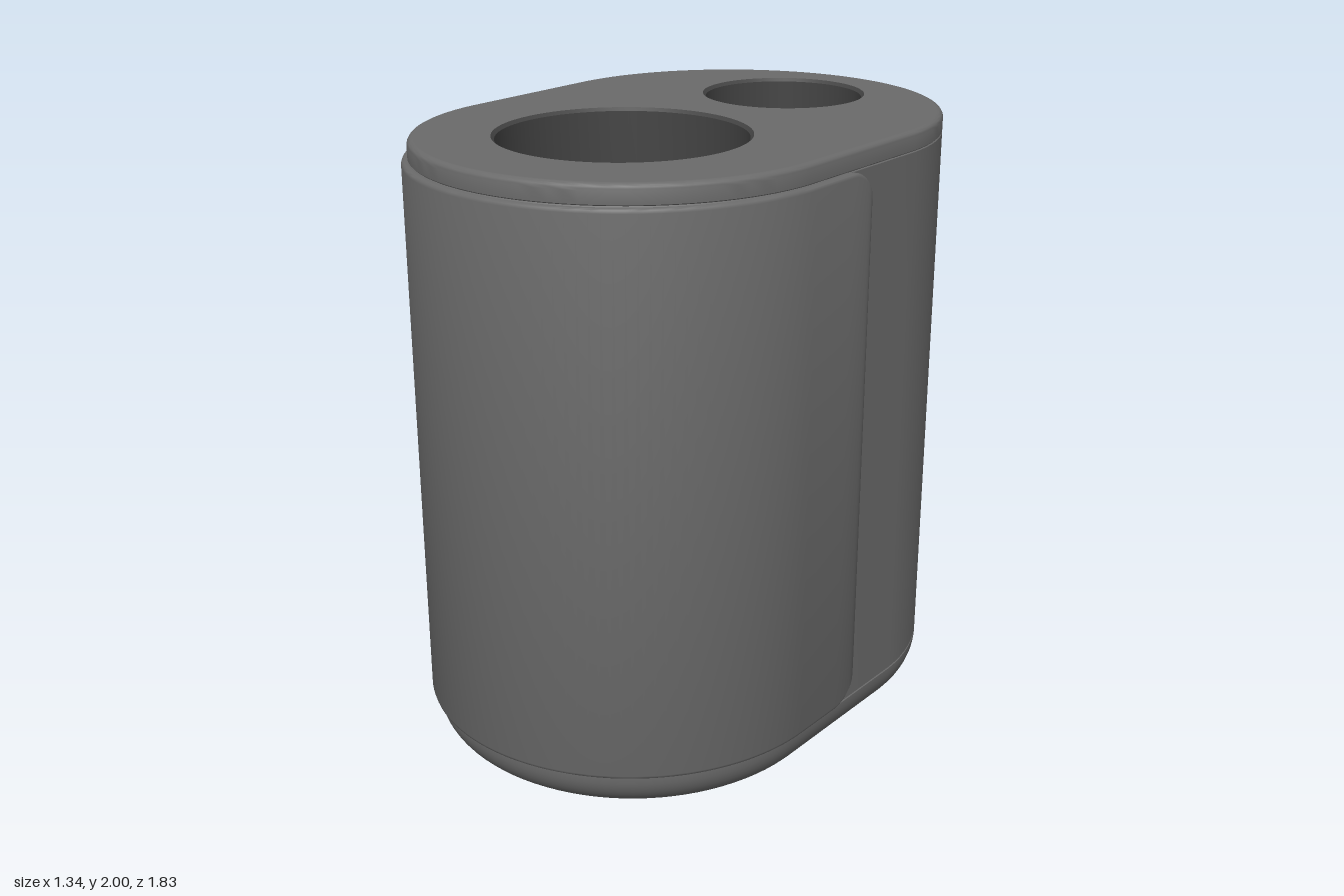
import * as THREE from 'three';
import { toCreasedNormals } from 'three/addons/utils/BufferGeometryUtils.js';

const HALF_STRAIGHT = 0.25; // half length of the straight sides
const CENTER_Z = -0.01;
const TOP = 2;

const mat = (color) => new THREE.MeshStandardMaterial({ color });
const bodyMat = mat(0x6a6a6a);
const wellMat = mat(0x444444);
const floorMat = mat(0x363636);
const clipMat = mat(0x7a7a7a);
const strapMat = mat(0x97a3b0);

function add(group, name, geometry, material) {
  const mesh = new THREE.Mesh(geometry, material);
  mesh.name = name;
  group.add(mesh);
  return mesh;
}

const vectors = (pairs) => pairs.map(([a, b]) => new THREE.Vector2(a, b));

// Lathe split at z = 0 and pulled apart into an oval with straight sides
function ovalLathe(profile) {
  const n = 96;
  const geo = new THREE.LatheGeometry(vectors(profile), n, Math.PI / 2 + Math.PI / n);
  const p = geo.attributes.position;
  for (let i = 0; i < p.count; i++) {
    p.setZ(i, p.getZ(i) + Math.sign(p.getZ(i)) * HALF_STRAIGHT + CENTER_Z);
  }
  return toCreasedNormals(geo, 0.6);
}

// Flat oval outline, drawn with shape y = -z
function ovalShape(r) {
  const shape = new THREE.Shape();
  shape.absarc(0, HALF_STRAIGHT - CENTER_Z, r, 0, Math.PI);
  shape.absarc(0, -HALF_STRAIGHT - CENTER_Z, r, Math.PI, 2 * Math.PI);
  return shape;
}

// Round between two profile directions
function arc(cx, cy, r, from, to, steps) {
  return Array.from({ length: steps + 1 }, (_, i) => {
    const a = from + ((to - from) * i) / steps;
    return [cx + r * Math.cos(a), cy + r * Math.sin(a)];
  });
}

// Curved cover around the front half, with rounded rear corners
function coverGeometry() {
  const r = 0.67, rearZ = -0.05, frontZ = 0.245, low = 0.203, high = 1.937, corner = 0.11;
  const straight = frontZ - rearZ;
  const length = 2 * straight + Math.PI * r;
  const stations = [];
  for (let i = 0; i <= 10; i++) stations.push(corner * (1 - Math.cos((i / 10) * Math.PI / 2)));
  stations.push(straight);
  for (let i = 1; i < 64; i++) stations.push(straight + (Math.PI * r * i) / 64);
  stations.push(length - straight);
  for (let i = 10; i >= 0; i--) stations.push(length - corner * (1 - Math.cos((i / 10) * Math.PI / 2)));

  const positions = [], index = [], m = 8;
  for (const s of stations) {
    const d = Math.min(s, length - s);
    const inset = d < corner ? corner - Math.sqrt(corner ** 2 - (corner - d) ** 2) : 0;
    const lo = low + inset, hi = high - inset;
    const soft = 0.008 * Math.min(1, d / 0.015); // thin lip at the rear edges
    const section = [
      [0.64, lo], [0.662, lo], [0.662 + soft * 0.7, lo + 0.004], [0.662 + soft, lo + 0.012],
      [0.662 + soft, hi - 0.012], [0.662 + soft * 0.7, hi - 0.004], [0.662, hi], [0.64, hi],
    ];
    const a = THREE.MathUtils.clamp((s - straight) / r, 0, Math.PI);
    const z0 = d < straight ? rearZ + d : frontZ;
    for (const [q, y] of section) positions.push(q * Math.cos(a), y, z0 + q * Math.sin(a));
  }
  const last = (stations.length - 1) * m;
  for (let i = 0; i < stations.length - 1; i++) {
    for (let k = 0; k < m - 1; k++) {
      const a = i * m + k, b = a + m;
      index.push(a, a + 1, b, a + 1, b + 1, b);
    }
  }
  for (let k = 1; k < m - 1; k++) index.push(0, k + 1, k, last, last + k, last + k + 1);
  const geo = new THREE.BufferGeometry();
  geo.setAttribute('position', new THREE.Float32BufferAttribute(positions, 3));
  geo.setIndex(index);
  return toCreasedNormals(geo, 0.9);
}

export function createModel() {
  const model = new THREE.Group();
  model.name = 'twinWellContainer';

  // Body with foot, rounded underside, two fine seams and soft top edge
  add(model, 'body', ovalLathe([
    [0.45, 0], [0.45, 0.052],
    ...arc(0.535, 0.19, 0.12, -1.4, 0, 10),
    [0.655, 0.197], [0.652, 0.2], [0.655, 0.203],
    [0.655, 1.937], [0.652, 1.94], [0.655, 1.943],
    ...arc(0.635, TOP - 0.02, 0.02, 0, Math.PI / 2, 5),
  ]), bodyMat);
  const sole = new THREE.ShapeGeometry(ovalShape(0.45), 48).rotateX(-Math.PI / 2);
  sole.scale(1, -1, 1);
  sole.index.array.reverse(); // face downwards
  sole.computeVertexNormals();
  add(model, 'footSole', sole, bodyMat);

  // Top plate with openings for the wells
  const wells = [
    { name: 'largeWell', z: 0.278, r: 0.375 },
    { name: 'smallWell', z: -0.528, r: 0.253 },
  ];
  const plate = ovalShape(0.635);
  for (const w of wells) {
    plate.holes.push(new THREE.Path().absarc(0, -w.z, w.r + 0.01, 0, 2 * Math.PI, true));
  }
  add(model, 'topPlate', new THREE.ShapeGeometry(plate, 48).rotateX(-Math.PI / 2), bodyMat)
    .position.y = TOP;

  // Wells: bevelled rim, straight wall, darker floor
  const wellFloor = TOP - 0.2;
  for (const w of wells) {
    const wall = new THREE.LatheGeometry(vectors([
      [w.r + 0.01, TOP], [w.r, TOP - 0.01], [w.r, wellFloor],
    ]), 96);
    add(model, w.name, toCreasedNormals(wall, 0.5), wellMat).position.z = w.z;
    const floor = new THREE.CircleGeometry(w.r, 96).rotateX(-Math.PI / 2);
    add(model, w.name + 'Floor', floor, floorMat).position.set(0, wellFloor, w.z);
  }

  add(model, 'frontCover', coverGeometry(), bodyMat);

  // Rear buckle: rectangular frame sunk into the curved back
  const rect = (Type, x, y0, y1) => new Type().setFromPoints(
    vectors([[-x, y0], [x, y0], [x, y1], [-x, y1], [-x, y0]]));
  const frame = rect(THREE.Shape, 0.37, 0.465, 0.752);
  frame.holes.push(rect(THREE.Path, 0.342, 0.495, 0.724));
  add(model, 'rearBuckle',
    new THREE.ExtrudeGeometry(frame, { depth: 0.045, bevelEnabled: false }), clipMat)
    .position.z = -0.912;

  // Rear strap: band filling the buckle, its edges standing out of the back above it
  const band = new THREE.Shape(vectors([
    [-0.825, 0.505], [-0.892, 0.497], [-0.892, 0.72], [-0.866, 0.722], [-0.842, 0.79],
    [-0.857, 1.66], [-0.846, 1.66], [-0.834, 0.79], [-0.826, 0.65],
  ]));
  const strapWidth = 0.67;
  const strap = new THREE.ExtrudeGeometry(band, { depth: strapWidth, bevelEnabled: false })
    .rotateY(-Math.PI / 2).translate(strapWidth / 2, 0, 0);
  const p = strap.attributes.position;
  for (let i = 0; i < p.count; i++) { // narrower towards the top
    p.setX(i, p.getX(i) * (1 - 0.09 * Math.max(0, (p.getY(i) - 0.79) / 0.87)));
  }
  strap.computeVertexNormals();
  add(model, 'rearStrap', strap, strapMat);

  return model;
}
